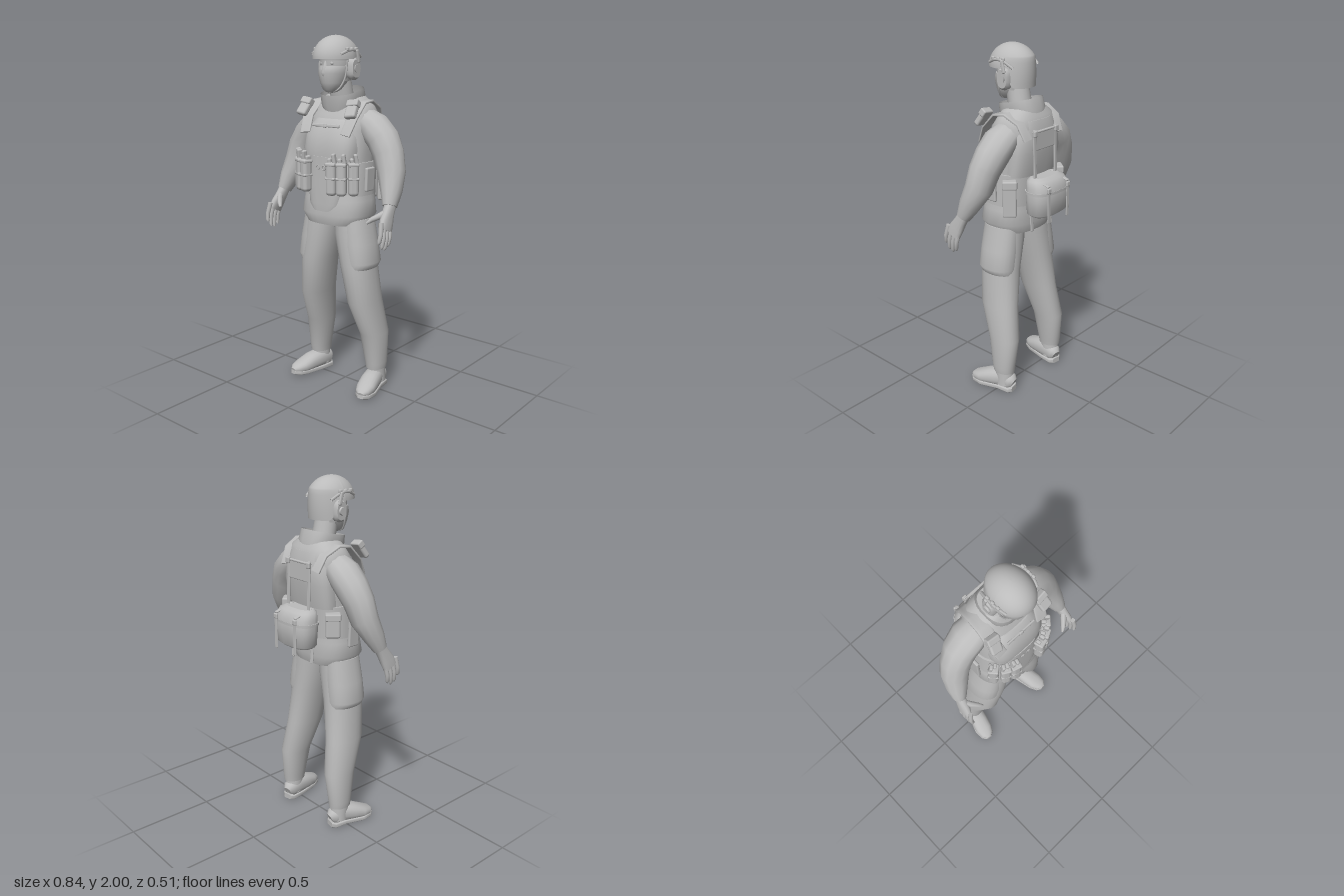
import * as THREE from 'three';
import { RoundedBoxGeometry } from 'three/addons/geometries/RoundedBoxGeometry.js';

const grey = new THREE.MeshStandardMaterial({ color: 0xbbbbbb, side: THREE.DoubleSide });
grey.name = 'plain grey';
const V = (x, y, z) => new THREE.Vector3(x, y, z);

// Skin over rings [x, y, z, a, b]; n sets how square each ring is
function loft(rings, { n = 2, seg = 20, level = false, ref = V(0, 0, 1), caps = true } = {}) {
  const pos = [], idx = [];
  const ctr = rings.map((r) => V(r[0], r[1], r[2]));
  const e = (c) => Math.sign(c) * Math.abs(c) ** (2 / n);
  const pts = rings.map((r, i) => {
    const t = level ? V(0, 1, 0)
      : ctr[Math.min(i + 1, ctr.length - 1)].clone().sub(ctr[Math.max(i - 1, 0)]).normalize();
    const u = t.clone().cross(ref).normalize(), v = u.clone().cross(t);
    return Array.from({ length: seg }, (_, j) => {
      const q = ((j + 0.5) / seg) * Math.PI * 2;
      return ctr[i].clone().addScaledVector(u, r[3] * e(Math.cos(q))).addScaledVector(v, r[4] * e(Math.sin(q)));
    });
  });
  const put = (p) => pos.push(p.x, p.y, p.z) / 3 - 1;
  pts.forEach((ring) => ring.forEach(put));
  for (let i = 0; i < rings.length - 1; i++)
    for (let j = 0; j < seg; j++) {
      const a = i * seg + j, b = i * seg + ((j + 1) % seg);
      idx.push(a, a + seg, b, b, a + seg, b + seg);
    }
  if (caps) [0, rings.length - 1].forEach((i) => {
    const c = put(ctr[i]), first = c + 1;
    pts[i].forEach(put);
    for (let j = 0; j < seg; j++) {
      const a = first + j, b = first + ((j + 1) % seg);
      i ? idx.push(c, b, a) : idx.push(c, a, b);
    }
  });
  const g = new THREE.BufferGeometry();
  g.setAttribute('position', new THREE.Float32BufferAttribute(pos, 3));
  g.setIndex(idx);
  g.computeVertexNormals();
  return g;
}

export function createModel() {
  const model = new THREE.Group();
  model.name = 'equippedSoldier';
  const add = (name, geo, p = [0, 0, 0], r = [0, 0, 0]) => {
    const m = new THREE.Mesh(geo, grey);
    m.name = name;
    m.position.set(...p);
    m.rotation.set(...r);
    model.add(m);
  };
  const box = (name, size, p, r, round = 0.008) =>
    add(name, new RoundedBoxGeometry(...size, 2, Math.min(round, Math.min(...size) * 0.45)), p, r);
  const tube = (name, pts, r) =>
    add(name, new THREE.TubeGeometry(new THREE.CatmullRomCurve3(pts.map((p) => V(...p))), 16, r, 6));

  // Jacket and vest
  add('jacket', loft([[0, 0.985, 0.055, 0.18, 0.145], [0, 1.04, 0.055, 0.216, 0.16], [0, 1.12, 0.05, 0.206, 0.15],
    [0, 1.22, 0.045, 0.192, 0.142], [0, 1.35, 0.035, 0.185, 0.145], [0, 1.5, 0.015, 0.198, 0.145], [0, 1.58, 0, 0.195, 0.13],
    [0, 1.635, -0.005, 0.165, 0.105], [0, 1.68, 0, 0.105, 0.085]], { n: 2.5, seg: 32, level: true }));
  add('vestWaistband', loft([[0, 1.15, 0.045, 0.203, 0.15], [0, 1.33, 0.035, 0.198, 0.152]], { n: 2.5, seg: 32, level: true }));
  add('chestPlate', loft([[0, 1.33, 0.1, 0.165, 0.103], [0, 1.4, 0.1, 0.172, 0.108], [0, 1.47, 0.09, 0.165, 0.104],
    [0, 1.53, 0.075, 0.135, 0.095], [0, 1.56, 0.06, 0.12, 0.085]], { n: 3, seg: 28, level: true }));
  add('frontFlap', loft([[0, 1.06, 0.12, 0.09, 0.092], [0, 1.1, 0.12, 0.112, 0.094], [0, 1.2, 0.12, 0.125, 0.092],
    [0, 1.36, 0.11, 0.115, 0.1]], { n: 3.5, seg: 28, level: true }));
  box('chestStrap', [0.19, 0.018, 0.012], [0, 1.525, 0.17], [-0.25, 0, 0]);
  box('chestBuckle', [0.025, 0.024, 0.014], [0, 1.525, 0.173], [-0.25, 0, 0]);
  for (const x of [-0.02, 0.02]) add('flapRing', new THREE.TorusGeometry(0.012, 0.003, 5, 12), [x, 1.3, 0.213]);
  add('collar', loft([[0, 1.59, 0.005, 0.09, 0.112], [0, 1.65, 0.016, 0.114, 0.118], [0, 1.705, 0.028, 0.112, 0.112]],
    { n: 2.5, seg: 24, caps: false }));
  add('neck', loft([[0, 1.62, 0.02, 0.07, 0.065], [0, 1.79, 0.055, 0.06, 0.065]], { level: true }));

  // Head with mask, eyes and nose
  add('head', loft([[0, 1.76, 0.08, 0.074, 0.086], [0, 1.84, 0.075, 0.086, 0.095], [0, 1.9, 0.075, 0.09, 0.1],
    [0, 1.95, 0.075, 0.075, 0.09]], { seg: 24, level: true }));
  add('faceMask', loft([[0, 1.7, 0.115, 0.025, 0.03], [0, 1.715, 0.112, 0.048, 0.056], [0, 1.75, 0.1, 0.069, 0.079],
    [0, 1.8, 0.087, 0.084, 0.103], [0, 1.825, 0.08, 0.089, 0.104], [0, 1.84, 0.077, 0.089, 0.1]], { seg: 24, level: true }));
  add('browBand', loft([[0, 1.868, 0.077, 0.089, 0.1], [0, 1.9, 0.077, 0.093, 0.104]], { seg: 24, level: true }));
  add('nose', loft([[0, 1.785, 0.172, 0.018, 0.014], [0, 1.805, 0.175, 0.019, 0.021], [0, 1.84, 0.167, 0.013, 0.015],
    [0, 1.872, 0.16, 0.009, 0.01]], { seg: 10, level: true }));

  // Helmet shell, longer over the nape
  const shell = new THREE.SphereGeometry(1, 40, 20, 0, Math.PI * 2, 0, Math.PI / 2);
  const sp = shell.attributes.position;
  for (let i = 0; i < sp.count; i++) {
    const y = sp.getY(i), z = sp.getZ(i);
    const low = Math.max(0, 1 - y / 0.45);
    const drop = THREE.MathUtils.smoothstep(-z, 0.1, 0.7) * 0.1;
    sp.setXYZ(i, sp.getX(i) * 0.115, 1.875 + y * 0.125 - low * drop, 0.083 + z * (z < 0 ? 0.145 - 0.017 * low : 0.138));
  }
  shell.computeVertexNormals();
  add('helmetShell', shell);

  for (const s of [-1, 1]) {
    // Helmet rail, headset and chin strap
    add('eye', new THREE.SphereGeometry(0.012, 12, 8), [s * 0.034, 1.853, 0.154]);
    tube('helmetRail', [[s * 0.098, 1.9, 0.16], [s * 0.113, 1.92, 0.11], [s * 0.114, 1.92, 0.06], [s * 0.1, 1.885, -0.005]], 0.008);
    for (const z of [0.05, 0.085, 0.12]) box('railClip', [0.016, 0.022, 0.022], [s * 0.112, 1.926, z]);
    add('earCup', loft([[0, -0.02, 0, 0.058, 0.04], [0, 0.004, 0, 0.06, 0.042], [0, 0.018, 0, 0.048, 0.032]],
      { n: 2.6, level: true }), [s * 0.103, 1.825, 0.055], [0, 0, -s * Math.PI / 2]);
    add('earCupCap', new THREE.CylinderGeometry(0.02, 0.024, 0.012, 14), [s * 0.124, 1.825, 0.055], [0, 0, Math.PI / 2]);
    box('headsetArm', [0.014, 0.07, 0.02], [s * 0.122, 1.89, 0.045], [0.25, 0, 0]);
    tube('chinStrap', [[s * 0.095, 1.87, 0.1], [s * 0.083, 1.77, 0.11], [s * 0.05, 1.715, 0.125], [0, 1.698, 0.13]], 0.005);

    // Sleeve and cuff
    add('sleeve', loft([[s * 0.14, 1.55, 0, 0.07, 0.085], [s * 0.2, 1.515, -0.002, 0.084, 0.098], [s * 0.262, 1.452, 0, 0.09, 0.092],
      [s * 0.305, 1.38, 0.012, 0.088, 0.082], [s * 0.337, 1.285, 0.026, 0.078, 0.076], [s * 0.366, 1.195, 0.066, 0.058, 0.062],
      [s * 0.382, 1.12, 0.1, 0.038, 0.042]], { seg: 12 }));
    // Hand with four fingers and a thumb
    add('palm', loft([[s * 0.382, 1.14, 0.09, 0.028, 0.032], [s * 0.387, 1.09, 0.12, 0.026, 0.037],
      [s * 0.395, 1.045, 0.146, 0.023, 0.047], [s * 0.402, 1.005, 0.163, 0.018, 0.047]], { n: 2.5, seg: 14 }));
    for (let f = 0; f < 4; f++) {
      const z = 0.124 + f * 0.026, len = [0.085, 0.108, 0.108, 0.085][f], y = 1.0 + f * 0.009;
      add('finger', loft([[s * 0.4, y + 0.025, z, 0.014, 0.014], [s * 0.409, y - len * 0.4, z + 0.012, 0.013, 0.013],
        [s * 0.405, y - len * 0.85, z + 0.019, 0.011, 0.011], [s * 0.4, y - len, z + 0.021, 0.005, 0.005]], { seg: 8 }));
    }
    add('thumb', loft([[s * 0.385, 1.095, 0.135, 0.018, 0.018], [s * 0.36, 1.075, 0.165, 0.017, 0.017],
      [s * 0.333, 1.058, 0.192, 0.014, 0.014], [s * 0.313, 1.038, 0.208, 0.007, 0.007]], { seg: 8 }));

    // Trouser leg and wide thigh pocket with a stepped lower edge
    add('trouserLeg', loft([[s * 0.211, 0.125, -0.025, 0.053, 0.066], [s * 0.211, 0.16, -0.024, 0.057, 0.071],
      [s * 0.199, 0.34, -0.018, 0.072, 0.095], [s * 0.173, 0.54, 0.038, 0.081, 0.118], [s * 0.142, 0.76, 0.055, 0.094, 0.118],
      [s * 0.112, 0.93, 0.055, 0.104, 0.116], [s * 0.1, 1.04, 0.053, 0.1, 0.112]], { n: 2.15, seg: 24, level: true }));
    add('thighPocket', loft([[s * 0.163, 0.74, 0.053, 0.075, 0.108], [s * 0.166, 0.775, 0.053, 0.092, 0.114],
      [s * 0.15, 0.88, 0.054, 0.088, 0.114], [s * 0.126, 1.02, 0.053, 0.084, 0.108]], { n: 2.2, seg: 24, level: true }));

    // Boot: shaft, foot, sole and heel
    add('bootShaft', loft([[s * 0.211, 0.04, -0.03, 0.05, 0.056], [s * 0.212, 0.16, -0.022, 0.046, 0.058]], { level: true }));
    add('bootFoot', loft([[s * 0.2, 0.05, -0.088, 0.026, 0.03], [s * 0.203, 0.058, -0.072, 0.044, 0.048],
      [s * 0.21, 0.07, -0.01, 0.051, 0.058], [s * 0.228, 0.06, 0.06, 0.056, 0.05], [s * 0.244, 0.045, 0.12, 0.055, 0.037],
      [s * 0.254, 0.038, 0.162, 0.041, 0.027], [s * 0.257, 0.033, 0.182, 0.018, 0.014]], { n: 2.3, ref: V(0, 1, 0) }));
    add('bootSole', loft([[s * 0.2, 0.016, -0.091, 0.026, 0.016], [s * 0.203, 0.016, -0.075, 0.047, 0.016],
      [s * 0.212, 0.018, 0, 0.05, 0.014], [s * 0.244, 0.018, 0.11, 0.057, 0.014], [s * 0.254, 0.02, 0.163, 0.043, 0.013],
      [s * 0.257, 0.022, 0.185, 0.018, 0.01]], { n: 5, ref: V(0, 1, 0) }));

    // Shoulder strap with its tilted pouch
    add('shoulderStrap', loft([[s * 0.14, 1.48, 0.178, 0.006, 0.034], [s * 0.155, 1.57, 0.133, 0.006, 0.036],
      [s * 0.15, 1.645, 0.06, 0.007, 0.04], [s * 0.145, 1.655, -0.01, 0.007, 0.04], [s * 0.135, 1.615, -0.092, 0.007, 0.038],
      [s * 0.125, 1.53, -0.135, 0.006, 0.034]], { n: 5, ref: V(1, 0, 0) }));
    box('shoulderPouch', [0.068, 0.1, 0.034], [s * 0.165, 1.615, 0.15], [-0.6, 0, s * 0.15], 0.012);
    box('shoulderPouchFlap', [0.073, 0.04, 0.04], [s * 0.162, 1.645, 0.133], [-0.6, 0, s * 0.15]);

    // Three magazine pouches wrapped round each side
    [[0.092, 0.231, 0.25], [0.144, 0.211, 0.5], [0.191, 0.168, 0.85]].forEach(([x, z, a]) => {
      box('magazinePouch', [0.056, 0.18, 0.055], [s * x, 1.252, z], [0, s * a, 0], 0.02);
      box('pouchBand', [0.058, 0.016, 0.057], [s * x, 1.255, z], [0, s * a, 0]);
      box('pouchLip', [0.058, 0.02, 0.056], [s * x, 1.33, z], [0, s * a, 0]);
      for (const d of [-0.012, 0.014])
        box('magazine', [0.02, 0.06, 0.03], [s * (x + d), 1.345 + d, z - 0.005], [0.1, s * a, s * 0.1]);
    });
  }

  // Hip gear
  box('radioPouch', [0.045, 0.2, 0.075], [0.2, 1.21, -0.068], [0, 0.75, 0], 0.01);
  box('radioPouchFlap', [0.051, 0.05, 0.081], [0.2, 1.29, -0.068], [0, 0.75, 0], 0.01);
  box('hipPouch', [0.05, 0.13, 0.08], [-0.2, 1.24, -0.075], [0, -0.7, 0], 0.012);
  box('hipPouchFlap', [0.056, 0.04, 0.086], [-0.2, 1.29, -0.075], [0, -0.7, 0]);
  box('sidePanel', [0.02, 0.2, 0.07], [-0.222, 1.2, 0.055], [0, 0, 0.04]);
  box('sidePanel', [0.02, 0.13, 0.07], [0.212, 1.24, 0.055], [0, 0, -0.04]);

  // Back plate with webbing
  add('backPlate', loft([[0, 1.32, -0.045, 0.175, 0.073], [0, 1.45, -0.062, 0.178, 0.08], [0, 1.55, -0.062, 0.165, 0.078],
    [0, 1.62, -0.053, 0.13, 0.065]], { n: 2.6, seg: 28, level: true }));
  box('backPanel', [0.19, 0.1, 0.012], [0, 1.515, -0.141], [0.02, 0, 0]);
  box('backPanelTop', [0.19, 0.012, 0.016], [0, 1.565, -0.141]);
  for (const x of [-0.085, 0.085]) {
    box('backStrap', [0.022, 0.3, 0.009], [x, 1.43, -0.146], [0.03, 0, 0]);
    box('backBuckle', [0.028, 0.035, 0.016], [x, 1.56, -0.15]);
  }
  // Rear pack with hanging straps
  add('rearPack', loft([[0, 1.1, -0.155, 0.105, 0.058], [0, 1.118, -0.162, 0.13, 0.074], [0, 1.2, -0.167, 0.141, 0.081],
    [0, 1.27, -0.163, 0.136, 0.08], [0, 1.305, -0.15, 0.122, 0.066], [0, 1.318, -0.14, 0.095, 0.045]], { n: 2.6, seg: 28, level: true }));
  add('packLid', loft([[0, 1.235, -0.162, 0.142, 0.084], [0, 1.25, -0.162, 0.142, 0.084]], { n: 2.6, seg: 28, level: true }));
  for (const x of [-0.08, 0.08]) {
    box('packStrap', [0.022, 0.19, 0.007], [x, 1.175, -0.242]);
    box('packStrapTop', [0.022, 0.008, 0.12], [x, 1.302, -0.185], [-0.3, 0, 0]);
    box('packBuckle', [0.03, 0.03, 0.014], [x, 1.265, -0.243]);
    box('packBelt', [0.022, 0.12, 0.008], [x, 1.06, -0.12], [0.1, 0, 0]);
  }
  return model;
}
